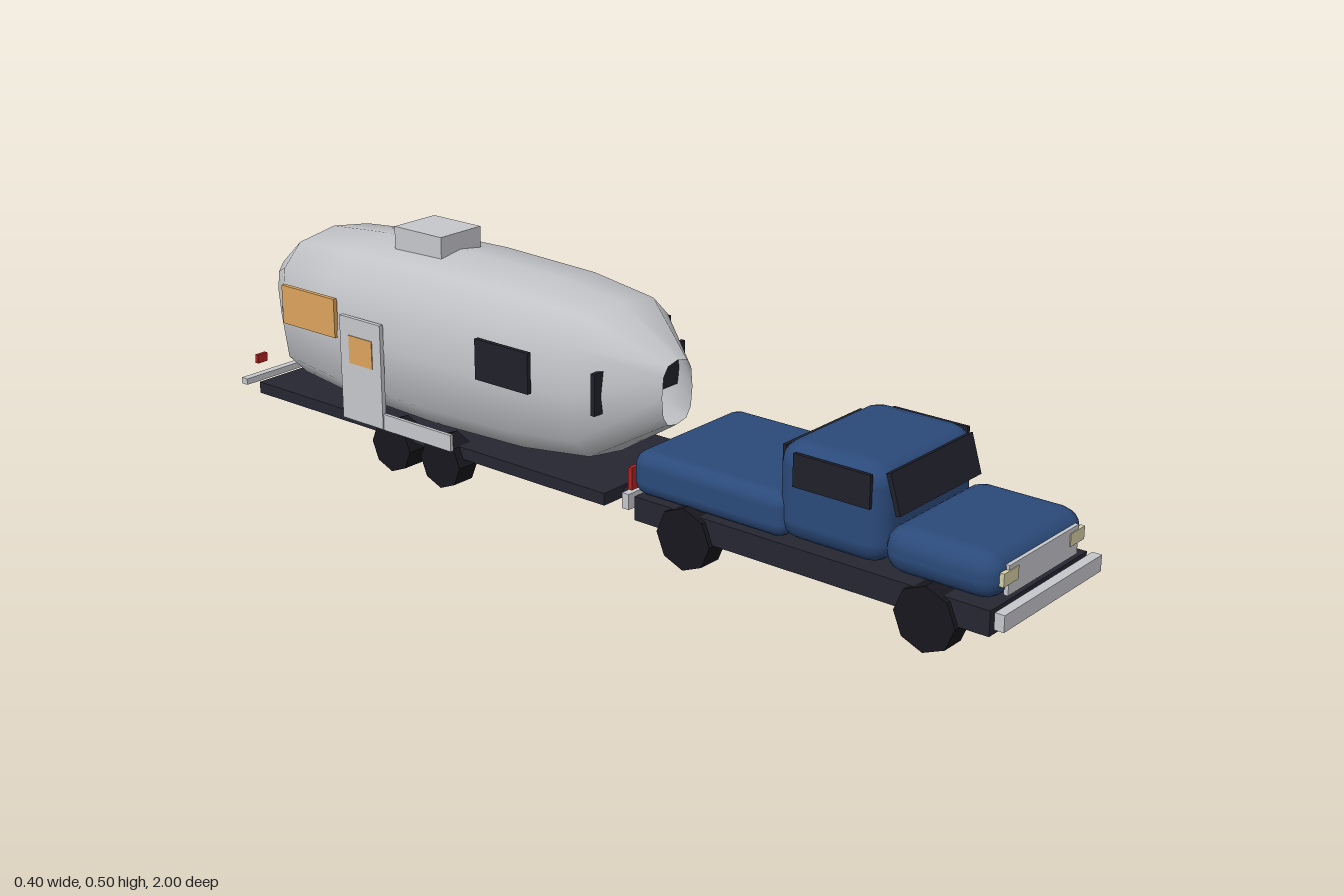
import * as THREE from 'three';
import { RoundedBoxGeometry } from 'three/addons/geometries/RoundedBoxGeometry.js';

const mat = (name, color) => Object.assign(new THREE.MeshStandardMaterial({ color }), { name });

export function createModel() {
  const blue = mat('body blue', 0x2b4a7a);
  const silver = mat('shell silver', 0xc2c4c8);
  silver.side = THREE.DoubleSide;
  const chrome = mat('chrome', 0xc6c7cc);
  const frameDark = mat('frame dark', 0x262632);
  const tyre = mat('tyre black', 0x17171d);
  const glass = mat('dark glass', 0x20202b);
  const amber = mat('lit window amber', 0xdba35c);
  const cream = mat('headlight cream', 0xd6cda6);
  const red = mat('tail light red', 0xb02222);

  const model = new THREE.Group();
  const truck = new THREE.Group();
  truck.name = 'truck';
  const trailer = new THREE.Group();
  trailer.name = 'trailer';
  model.add(truck, trailer);

  const add = (group, name, geo, material) => {
    const mesh = new THREE.Mesh(geo, material);
    mesh.name = name;
    group.add(mesh);
    return mesh;
  };
  // Box given by its limits on each axis
  const box = (group, name, [x0, x1], [y0, y1], [z0, z1], material, radius = 0) => {
    const size = [x1 - x0, y1 - y0, z1 - z0];
    const geo = radius
      ? new RoundedBoxGeometry(...size, 2, radius)
      : new THREE.BoxGeometry(...size);
    const mesh = add(group, name, geo, material);
    mesh.position.set((x0 + x1) / 2, (y0 + y1) / 2, (z0 + z1) / 2);
    return mesh;
  };
  // Eight-sided wheels on both sides, standing on the ground
  const wheelPair = (group, name, z, r) => {
    for (const s of [-1, 1]) {
      const geo = new THREE.CylinderGeometry(r, r, 0.053, 8).toNonIndexed();
      geo.rotateZ(Math.PI / 2);
      geo.computeVertexNormals();
      add(group, name, geo, tyre).position.set(s * 0.152, r, z);
    }
  };

  // Truck body
  box(truck, 'truckFrame', [-0.168, 0.168], [0.067, 0.117], [0.165, 0.97], frameDark);
  box(truck, 'hood', [-0.163, 0.163], [0.118, 0.211], [0.73, 0.972], blue, 0.042);
  box(truck, 'cab', [-0.162, 0.162], [0.118, 0.315], [0.492, 0.736], blue, 0.045);
  box(truck, 'bed', [-0.168, 0.168], [0.118, 0.211], [0.153, 0.525], blue, 0.03);

  // Truck windows
  const windshield = box(truck, 'windshield', [-0.136, 0.136], [0.222, 0.303], [0.736, 0.746], glass);
  windshield.rotation.x = -0.3;
  box(truck, 'rearWindow', [-0.125, 0.125], [0.215, 0.295], [0.488, 0.496], glass);
  for (const s of [-1, 1]) {
    box(truck, 'sideWindow', [s * 0.161 - 0.004, s * 0.161 + 0.004], [0.235, 0.301], [0.54, 0.71], glass);
  }

  // Grille, lights and bumpers
  box(truck, 'grille', [-0.12, 0.12], [0.13, 0.188], [0.966, 0.975], chrome);
  box(truck, 'frontBumper', [-0.17, 0.17], [0.085, 0.118], [0.98, 1.0], chrome);
  box(truck, 'rearBumper', [-0.17, 0.17], [0.085, 0.118], [0.135, 0.152], chrome);
  for (const s of [-1, 1]) {
    box(truck, 'headlight', [s * 0.115 - 0.025, s * 0.115 + 0.025], [0.153, 0.179], [0.968, 0.977], cream);
    box(truck, 'truckTailLight', [s * 0.153 - 0.01, s * 0.153 + 0.01], [0.125, 0.172], [0.145, 0.154], red);
  }
  wheelPair(truck, 'frontWheel', 0.843, 0.065);
  wheelPair(truck, 'rearWheel', 0.295, 0.065);

  // Trailer shell: rounded twelve-sided rings, open at both ends [z, rx, ry]
  const rings = [
    [0.135, 0.048, 0.068], [-0.01, 0.162, 0.16], [-0.18, 0.183, 0.18], [-0.435, 0.19, 0.187],
    [-0.69, 0.185, 0.181], [-0.855, 0.166, 0.167], [-1.0, 0.048, 0.068],
  ];
  const sides = 12, pos = [], idx = [];
  const bulge = (v) => Math.abs(v) < 1e-6 ? 0 : Math.sign(v) * Math.abs(v) ** 0.7;
  rings.forEach(([z, rx, ry], i) => {
    for (let j = 0; j < sides; j++) {
      const a = (j / sides) * Math.PI * 2;
      pos.push(rx * bulge(Math.sin(a)), 0.28 + ry * bulge(Math.cos(a)), z);
      if (i === rings.length - 1) continue;
      const p = i * sides + j, q = i * sides + ((j + 1) % sides);
      idx.push(p, q, p + sides, q, q + sides, p + sides);
    }
  });
  const shell = new THREE.BufferGeometry();
  shell.setAttribute('position', new THREE.Float32BufferAttribute(pos, 3));
  shell.setIndex(idx);
  shell.computeVertexNormals();
  add(trailer, 'shell', shell, silver);
  box(trailer, 'roofUnit', [-0.06, 0.06], [0.445, 0.504], [-0.597, -0.458], chrome);

  // Trailer windows and door
  const plate = (name, x, y, z, material) => box(trailer, name, [x - 0.005, x + 0.005], y, z, material);
  const high = [0.273, 0.36];
  plate('leftFrontWindow', 0.183, high, [-0.185, -0.035], glass);
  plate('leftMiddleWindow', 0.192, high, [-0.505, -0.295], amber);
  plate('leftRearWindow', 0.183, high, [-0.838, -0.675], glass);
  plate('rightFrontWindow', -0.185, high, [-0.24, -0.095], glass);
  plate('rightRearWindow', -0.187, high, [-0.82, -0.655], amber);
  plate('door', -0.192, [0.1, 0.332], [-0.633, -0.51], chrome);
  plate('doorWindow', -0.194, [0.23, 0.292], [-0.605, -0.535], amber);
  box(trailer, 'frontWindow', [-0.142, 0.142], [0.245, 0.333], [0.03, 0.04], glass);

  // Trailer chassis, tongue, bumper and running gear
  box(trailer, 'chassis', [-0.16, 0.16], [0.072, 0.098], [-0.95, 0.08], frameDark);
  for (const s of [-1, 1]) {
    const bar = add(trailer, 'tongueBar', new THREE.BoxGeometry(0.018, 0.016, 0.17), frameDark);
    bar.position.set(s * 0.06, 0.085, 0.12);
    bar.rotation.y = -s * 0.62;
    box(trailer, 'fender', [s * 0.19 - 0.004, s * 0.19 + 0.004], [0.098, 0.134], [-0.55, -0.312], chrome);
    box(trailer, 'trailerTailLight', [s * 0.125 - 0.014, s * 0.125 + 0.014], [0.13, 0.15], [-0.986, -0.977], red);
  }
  box(trailer, 'coupler', [-0.012, 0.012], [0.077, 0.093], [0.07, 0.2], frameDark);
  box(trailer, 'trailerBumper', [-0.17, 0.17], [0.086, 0.1], [-1.0, -0.982], chrome);
  wheelPair(trailer, 'trailerFrontWheel', -0.36, 0.057);
  wheelPair(trailer, 'trailerRearWheel', -0.507, 0.057);

  return model;
}
